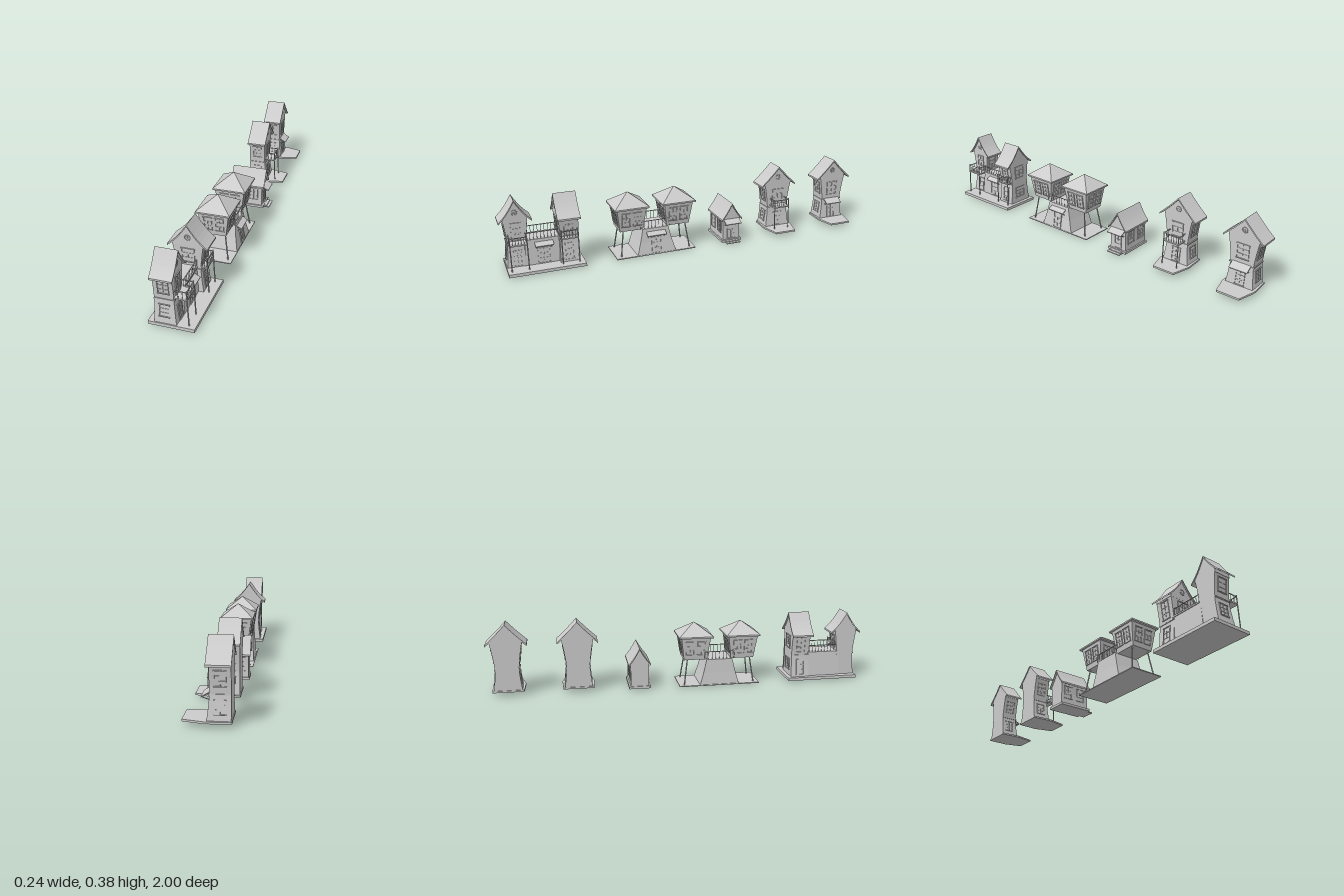
import * as THREE from 'three';

const grey = new THREE.MeshStandardMaterial({ color: 0xcccccc, flatShading: true, side: THREE.DoubleSide });
const V = (x, y, z) => new THREE.Vector3(x, y, z);

function add(parent, name, geo) {
  const m = new THREE.Mesh(geo, grey);
  m.name = name;
  parent.add(m);
  return m;
}
function group(parent, name, x = 0, y = 0, z = 0) {
  const g = new THREE.Group();
  g.name = name;
  g.position.set(x, y, z);
  parent.add(g);
  return g;
}
// Box given by its extents
function box(p, name, x0, x1, y0, y1, z0, z1) {
  const m = add(p, name, new THREE.BoxGeometry(x1 - x0, y1 - y0, z1 - z0));
  m.position.set((x0 + x1) / 2, (y0 + y1) / 2, (z0 + z1) / 2);
  return m;
}
// Round bar between two points
function bar(p, name, a, b, r = 0.002) {
  const m = add(p, name, new THREE.CylinderGeometry(r, r, a.distanceTo(b), 6));
  m.position.copy(a).lerp(b, 0.5);
  m.quaternion.setFromUnitVectors(V(0, 1, 0), b.clone().sub(a).normalize());
  return m;
}
// Rectangles [y, x0, x1, z0, z1] stacked upwards and joined by walls
function loft(levels) {
  const pos = [], idx = [];
  levels.forEach(([y, x0, x1, z0, z1]) => pos.push(x0, y, z1, x1, y, z1, x1, y, z0, x0, y, z0));
  for (let l = 0; l < levels.length - 1; l++)
    for (let i = 0; i < 4; i++) {
      const a = l * 4 + i, b = l * 4 + (i + 1) % 4;
      idx.push(a, b, b + 4, a, b + 4, a + 4);
    }
  const t = (levels.length - 1) * 4;
  idx.push(0, 2, 1, 0, 3, 2, t, t + 1, t + 2, t, t + 2, t + 3);
  const g = new THREE.BufferGeometry();
  g.setAttribute('position', new THREE.Float32BufferAttribute(pos, 3));
  g.setIndex(idx);
  const flat = g.toNonIndexed();
  flat.computeVertexNormals();
  return flat;
}
// Outline in (z, y) extruded along x from x0 to x1
function prismX(points, x0, x1) {
  const shape = new THREE.Shape(points.map(([u, y]) => new THREE.Vector2(u, y)));
  return new THREE.ExtrudeGeometry(shape, { depth: x1 - x0, bevelEnabled: false })
    .rotateY(Math.PI / 2).translate(x0, 0, 0);
}
// Framed window or door, facing +z before it is turned by heading and tilt
function frame(p, name, pos, heading, tilt, w, h, rows = 2) {
  const g = group(p, name, pos.x, pos.y, pos.z), t = 0.004;
  g.rotation.order = 'YXZ';
  g.rotation.set(tilt, heading, 0);
  for (const s of [-1, 1]) {
    box(g, 'frameSide', s * w / 2 - t / 2, s * w / 2 + t / 2, -h / 2, h / 2, -0.002, 0.004);
    box(g, 'frameRail', -w / 2 - t, w / 2 + t, s * h / 2 - t / 2, s * h / 2 + t / 2, -0.002, 0.005);
  }
  box(g, 'pane', -w / 2, w / 2, -h / 2, h / 2, -0.003, 0.001);
  box(g, 'mullion', -0.0012, 0.0012, -h / 2, h / 2, -0.002, 0.003);
  for (let i = 1; i < rows; i++) {
    const y = -h / 2 + h * i / rows;
    box(g, 'crossBar', -w / 2, w / 2, y - 0.0012, y + 0.0012, -0.002, 0.003);
  }
}
function railing(p, a, b, h = 0.036, n = 6) {
  const g = group(p, 'railing'), up = V(0, h, 0);
  bar(g, 'handrail', a.clone().add(up), b.clone().add(up), 0.0025);
  for (let i = 0; i <= n; i++) {
    const q = a.clone().lerp(b, i / n);
    bar(g, 'baluster', q, q.clone().add(up), 0.0013);
  }
}
function balcony(p, x0, x1, z0, z1, y, ground) {
  const g = group(p, 'balcony');
  box(g, 'balconyFloor', x0, x1, y - 0.007, y, z0, z1);
  const a = V(x1 - 0.003, y, z0 + 0.003), b = V(x1 - 0.003, y, z1 - 0.003);
  railing(g, a, b);
  for (const q of [a, b]) {
    railing(g, V(x0, y, q.z), q, 0.036, 3);
    bar(g, 'balconyPost', V(x1 + 0.004, ground, q.z), V(q.x, y + 0.042, q.z), 0.003);
  }
}
function awning(p, x0, x1, z0, z1, top, drop = 0.018) {
  const g = group(p, 'awning');
  const roof = prismX([[x0, top], [x1, top - drop], [x1, top - drop - 0.004], [x0, top - 0.005]], 0, z1 - z0);
  add(g, 'awningRoof', roof.rotateY(-Math.PI / 2).scale(-1, 1, 1).rotateY(Math.PI).translate(0, 0, z1));
  for (const z of [z0 + 0.008, z1 - 0.008])
    bar(g, 'awningBracket', V(x0, top - 0.035, z), V(x1 - 0.004, top - drop - 0.002, z));
}

// Gabled house with ridge along x and front at +x; hw and fx give half width and front at foot, waist, top
function house(p, name, z, o) {
  const g = group(p, name, o.x || 0, 0, z);
  const [foot, waist, top] = o.y;
  const bend = (v, y) => {
    const up = y > waist, t = up ? (y - waist) / (top - waist) : (waist - y) / (waist - foot);
    return v[1] + (v[up ? 2 : 0] - v[1]) * t ** 1.4;
  };
  const tilt = (v, y) => Math.atan((bend(v, y + 0.01) - bend(v, y - 0.01)) / 0.02);
  const levels = [];
  for (let i = 0; i <= 8; i++) {
    const y = i < 4 ? foot + (waist - foot) * i / 4 : waist + (top - waist) * (i - 4) / 4;
    levels.push([y, o.x0, bend(o.fx, y), -bend(o.hw, y), bend(o.hw, y)]);
  }
  add(g, 'walls', loft(levels));
  if (o.band) box(g, 'storeyBand', o.x0, o.fx[1] + 0.004, waist - 0.003, waist + 0.003, -o.hw[1] - 0.004, o.hw[1] + 0.004);

  // Roof shell and gable wall follow the same, slightly hollow slope
  const slope = (t) => o.ridge - (o.ridge - o.eave) * t - (o.sag || 0) * Math.sin(Math.PI * t);
  const line = (w, dy) => Array.from({ length: 13 }, (_, i) => [(i / 6 - 1) * w, slope(Math.abs(i / 6 - 1) * w / o.half) - dy]);
  add(g, 'roof', prismX([...line(o.half, 0), ...line(o.half, 0.009).reverse()], o.roof[0], o.roof[1]));
  add(g, 'gable', prismX([[-o.hw[2], top - 0.01], ...line(o.hw[2], 0.008), [o.hw[2], top - 0.01]], o.x0, o.fx[2]));

  // Windows on both side walls, then openings on the front
  for (const [x, y, w, h] of o.side || [])
    for (const s of [1, -1])
      frame(g, 'sideWindow', V(x, y, s * bend(o.hw, y)), s > 0 ? 0 : Math.PI, tilt(o.hw, y), w, h, 3);
  for (const [u, y, w, h] of o.front || [])
    frame(g, 'frontOpening', V(bend(o.fx, y), y, u), Math.PI / 2, tilt(o.fx, y), w, h, 3);
  for (const [u, y, w, h] of o.back || [])
    frame(g, 'rearWindow', V(o.x0, y, u), -Math.PI / 2, 0, w, h, 3);
  if (o.round) {
    const y = o.eave + 0.042;
    add(g, 'roundWindow', new THREE.TorusGeometry(0.013, 0.002, 6, 16).rotateY(Math.PI / 2)).position.set(o.fx[2], y, 0);
    bar(g, 'roundWindowBar', V(o.fx[2], y - 0.013, 0), V(o.fx[2], y + 0.013, 0), 0.0013);
    bar(g, 'roundWindowBar', V(o.fx[2], y, -0.013), V(o.fx[2], y, 0.013), 0.0013);
  }
  return g;
}

const tall = {
  y: [0.028, 0.138, 0.278], hw: [0.072, 0.06, 0.08], x0: -0.086, fx: [0.016, 0.005, 0.005], band: true,
  roof: [-0.09, 0.016], half: 0.104, eave: 0.272, ridge: 0.375, sag: 0.003, round: true,
  side: [[-0.04, 0.085, 0.045, 0.06], [-0.04, 0.208, 0.048, 0.07]],
  front: [[0, 0.07, 0.045, 0.075], [0, 0.205, 0.06, 0.075]],
};

export function createModel() {
  const model = new THREE.Group();
  model.name = 'houseRow';

  // Two tall houses with a tapered forecourt
  for (const [name, z] of [['awningHouse', -0.896], ['balconyHouse', -0.537]]) {
    const g = house(model, name, z, tall);
    const court = [[-0.09, 0.08], [0.02, 0.085], [0.12, 0.06], [0.12, -0.06], [0.02, -0.085], [-0.09, -0.08]];
    add(g, 'forecourt', new THREE.ExtrudeGeometry(new THREE.Shape(court.map(([x, u]) => new THREE.Vector2(x, u))),
      { depth: 0.009, bevelEnabled: false }).rotateX(-Math.PI / 2).translate(0, 0.02, 0));
    if (z < -0.7) awning(g, 0.006, 0.042, -0.048, 0.048, 0.145, 0.022);
    else balcony(g, 0.004, 0.062, -0.046, 0.046, 0.157, 0.028);
  }

  // Cottage
  const c = house(model, 'cottage', -0.219, {
    y: [0.016, 0.08, 0.142], hw: [0.049, 0.047, 0.05], x0: -0.097, fx: [0.074, 0.072, 0.074],
    roof: [-0.107, 0.086], half: 0.059, eave: 0.137, ridge: 0.225, sag: 0.005,
    side: [[-0.055, 0.085, 0.045, 0.07], [0.025, 0.085, 0.045, 0.07]], front: [[0, 0.06, 0.04, 0.075]],
  });
  box(c, 'plinth', -0.102, 0.084, 0.005, 0.018, -0.057, 0.057);
  box(c, 'upperStep', 0.084, 0.1, 0.005, 0.015, -0.035, 0.035);
  box(c, 'lowerStep', 0.084, 0.115, 0.005, 0.01, -0.04, 0.04);
  awning(c, 0.073, 0.11, -0.045, 0.045, 0.135);

  // Twin tower house
  const t = group(model, 'twinTowerHouse', 0, 0, 0.212);
  box(t, 'groundPlate', -0.1, 0.082, 0, 0.005, -0.218, 0.218);
  add(t, 'centralHall', loft([[0.005, -0.095, 0.08, -0.106, 0.106], [0.07, -0.09, 0.068, -0.087, 0.087], [0.142, -0.086, 0.06, -0.07, 0.07]]));
  frame(t, 'hallDoor', V(0.073, 0.05, 0), Math.PI / 2, -0.15, 0.05, 0.085, 3);
  awning(t, 0.062, 0.088, -0.052, 0.052, 0.125, 0.015);
  for (const x of [-0.082, 0.057]) railing(t, V(x, 0.142, -0.08), V(x, 0.142, 0.08), 0.042, 8);
  for (const s of [-1, 1]) {
    const w = group(t, 'tower', -0.01, 0, s * 0.128);
    add(w, 'towerRoom', loft([[0.14, -0.06, 0.06, -0.062, 0.062], [0.27, -0.08, 0.08, -0.08, 0.08]]));
    add(w, 'towerRoof', loft([[0.262, -0.088, 0.088, -0.092, 0.092], [0.27, -0.088, 0.088, -0.092, 0.092], [0.335, 0, 0, 0, 0]]));
    for (let i = 0; i < 4; i++) {
      const a = i * Math.PI / 2, r = 0.071;
      for (const u of [-0.03, 0.03])
        frame(w, 'towerWindow', V(Math.sin(a) * r + Math.cos(a) * u, 0.205, Math.cos(a) * r - Math.sin(a) * u), a, 0.143, 0.04, 0.075, 3);
    }
    for (const k of [-1, 1]) bar(w, 'towerLeg', V(k * 0.07, 0.005, s * 0.062), V(k * 0.05, 0.142, s * 0.043), 0.0035);
  }

  // Linked pair on a shared base
  const p = group(model, 'linkedPair');
  box(p, 'base', -0.116, 0.1, 0.006, 0.022, 0.594, 0.98);
  house(p, 'frontHouse', 0.918, {
    ...tall, y: [0.022, 0.142, 0.268], hw: [0.057, 0.046, 0.06], half: 0.082, eave: 0.263, ridge: 0.37, sag: 0.01,
    front: [[0, 0.065, 0.036, 0.08], [0, 0.205, 0.045, 0.09]],
  });
  const b = house(p, 'rearHouse', 0.664, {
    ...tall, x: -0.026, y: [0.022, 0.142, 0.268], hw: [0.071, 0.059, 0.074], x0: -0.05, fx: [0.05, 0.046, 0.05],
    roof: [-0.058, 0.058], half: 0.096, eave: 0.26, ridge: 0.37, sag: 0.01,
    side: [[0, 0.075, 0.04, 0.085], [0, 0.205, 0.045, 0.09]],
    front: [[0, 0.21, 0.06, 0.07]], back: [[0, 0.085, 0.06, 0.06], [0, 0.21, 0.06, 0.07]],
  });
  b.rotation.y = -Math.PI / 2;
  add(p, 'linkHall', loft([[0.022, -0.09, 0.02, 0.69, 0.89], [0.15, -0.085, 0.014, 0.7, 0.88]]));
  box(p, 'linkTerrace', -0.089, 0.018, 0.15, 0.157, 0.705, 0.875);
  for (const x of [-0.085, 0.015]) railing(p, V(x, 0.157, 0.714), V(x, 0.157, 0.872), 0.036, 9);
  frame(p, 'linkDoor', V(0.017, 0.065, 0.79), Math.PI / 2, -0.04, 0.06, 0.08, 3);
  awning(p, 0.014, 0.042, 0.742, 0.834, 0.14, 0.015);
  balcony(p, 0.004, 0.064, 0.873, 0.963, 0.157, 0.022);
  balcony(p, 0.03, 0.064, 0.619, 0.71, 0.157, 0.022);
  return model;
}
